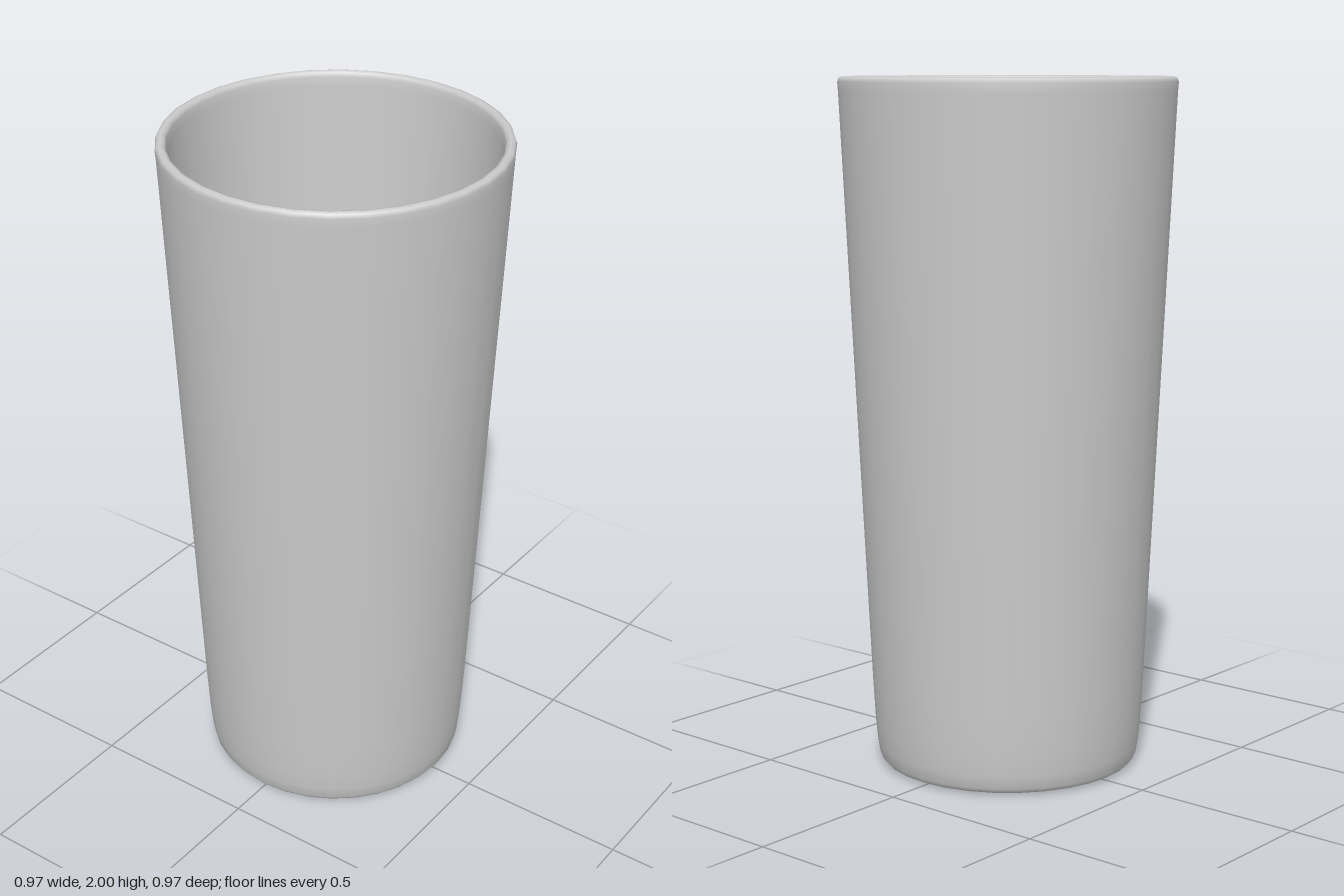
import * as THREE from 'three';

const SIDES = 32;

export function createModel() {
  const model = new THREE.Group();
  model.name = 'tumbler';

  // Closed wall profile [radius, height]: underside, outer wall, rim, inner wall, floor
  const profile = [
    [0, 0], [0.33, 0], [0.352, 0.002], [0.37, 0.008], [0.381, 0.022],
    [0.387, 0.06], [0.393, 0.12], [0.4, 0.24], [0.481, 1.96],
    [0.483, 1.985], [0.479, 1.996], [0.468, 2], [0.457, 1.996], [0.453, 1.985],
    [0.451, 1.96], [0.37, 0.24], [0.363, 0.12], [0.356, 0.07],
    [0.347, 0.045], [0.325, 0.034], [0.29, 0.03], [0, 0.03],
  ].map(([r, y]) => new THREE.Vector2(r, y));

  const cup = new THREE.Mesh(
    new THREE.LatheGeometry(profile, SIDES),
    new THREE.MeshStandardMaterial({ color: 0xcccccc })
  );
  cup.name = 'cup';
  model.add(cup);
  return model;
}
